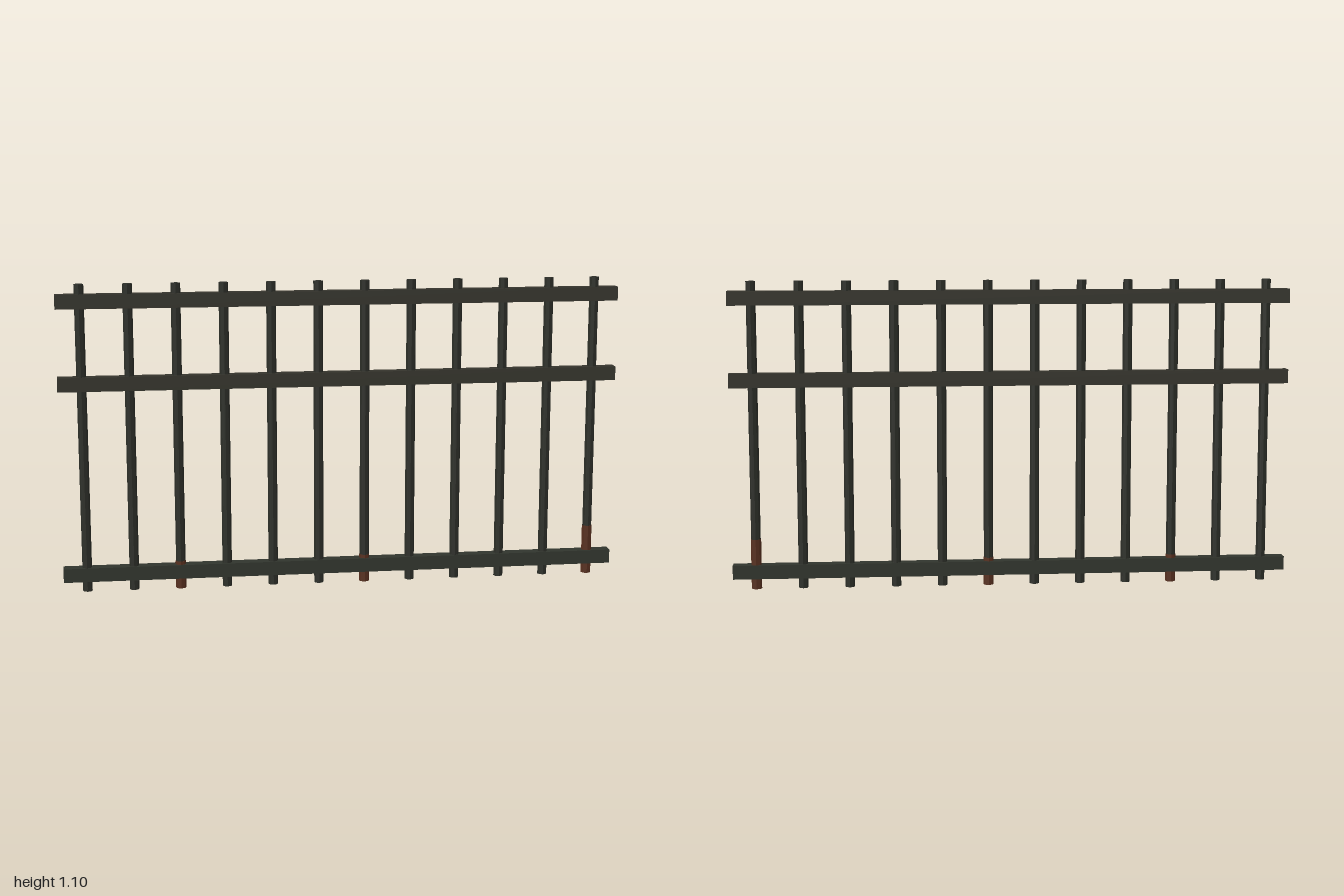
import * as THREE from 'three';

export function createModel() {
  const mat = (name, color) => {
    const m = new THREE.MeshStandardMaterial({ color });
    m.name = name;
    m.flatShading = true;
    return m;
  };
  const iron = mat('darkIron', 0x2c2e28);
  const railIron = mat('railIron', 0x35342c);
  const baseIron = mat('lowerRailIron', 0x31352d);
  const rust = mat('rust', 0x58301f);

  const group = new THREE.Group();
  group.name = 'barredFence';
  const add = (name, geometry, material, x, y) => {
    const mesh = new THREE.Mesh(geometry, material);
    mesh.name = name;
    mesh.position.set(x, y, 0);
    group.add(mesh);
  };

  // Three horizontal rails
  const railGeo = new THREE.BoxGeometry(2, 0.05, 0.042);
  add('topRail', railGeo, railIron, 0, 1.04);
  add('middleRail', railGeo, railIron, 0, 0.75);
  add('bottomRail', railGeo, baseIron, 0, 0.062);

  // Twelve evenly spaced bars; some are rusted at the foot
  const height = 1.1;
  const barGeo = new THREE.CylinderGeometry(0.017, 0.017, height, 8);
  const rustHeights = { 2: 0.1, 6: 0.1, 11: 0.18 };
  for (let i = 0; i < 12; i++) {
    const x = (i - 5.5) / 6;
    add('bar', barGeo, iron, x, height / 2);
    const h = rustHeights[i];
    if (h) {
      // Sleeve sits just proud of the bar, including its underside
      add('rustPatch', new THREE.CylinderGeometry(0.0185, 0.0185, h, 8), rust, x, h / 2 - 0.0005);
    }
  }
  return group;
}
